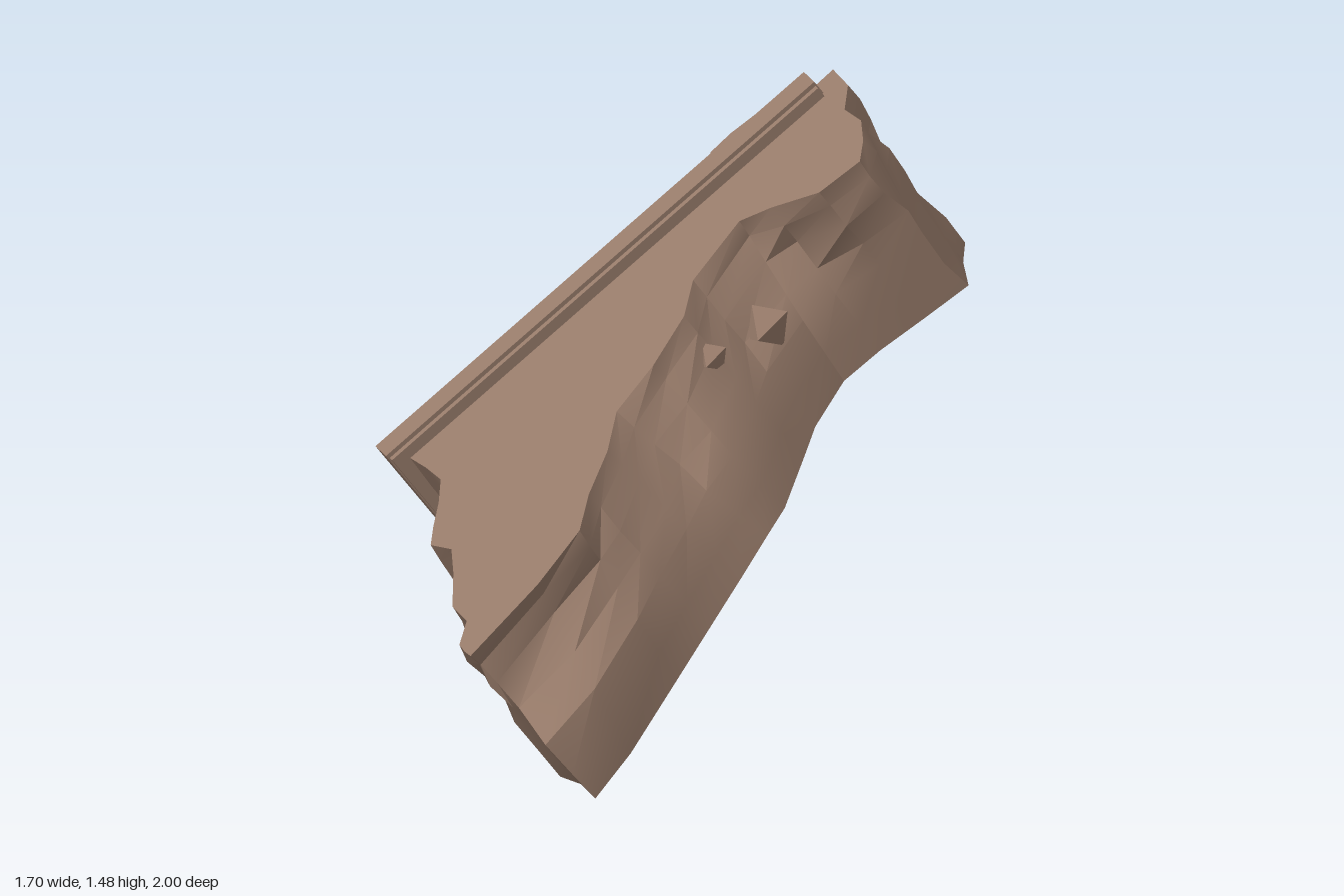
import * as THREE from 'three';
import { toCreasedNormals } from 'three/addons/utils/BufferGeometryUtils.js';

const stone = new THREE.MeshStandardMaterial({ color: 0x967a69 });
stone.name = 'brown stone';

// Outline of the broken wall: [bottom x, bottom z, top x, top z], counterclockwise from above
const front = [
  [-0.37, 1.0, -0.40, 0.83], [-0.218, 0.9, -0.13, 0.72], [0, 0.69, 0.05, 0.6],
  [0.15, 0.545, 0.12, 0.44], [0.3, 0.4, 0.225, 0.28], [0.42, 0.28, 0.3, 0.1],
  [0.503, 0.2, 0.457, 0], [0.62, 0, 0.6, -0.14], [0.688, -0.12, 0.67, -0.3],
  [0.822, -0.25, 0.868, -0.43], [0.956, -0.265, 0.97, -0.37], [1.12, -0.255, 1.117, -0.25],
];
const rest = [
  // right end
  [1.275, -0.25, 1.265, -0.25], [1.29, -0.4, 1.3, -0.35], [1.32, -0.5, 1.32, -0.47],
  [1.275, -0.6, 1.29, -0.6], [1.26, -0.7, 1.33, -0.72], [1.21, -0.76, 1.31, -0.87],
  // back, hidden in the cornice
  [-0.34, -0.54, -0.315, -0.54],
  // left end
  [-0.32, -0.4, -0.28, -0.4], [-0.3, -0.3, -0.255, -0.27], [-0.352, -0.15, -0.29, -0.15],
  [-0.352, -0.05, -0.335, -0.04], [-0.385, 0.06, -0.365, 0.05], [-0.37, 0.2, -0.315, 0.16],
  [-0.386, 0.3, -0.34, 0.3], [-0.461, 0.43, -0.385, 0.48], [-0.445, 0.6, -0.365, 0.62],
  [-0.436, 0.73, -0.415, 0.72], [-0.39, 0.86, -0.41, 0.78],
];
const levels = [0.348, 0.45, 0.57, 0.65, 0.74, 0.81, 0.867];
const slope = [0, 0.03, 0.1, 0.42, 0.68, 0.9, 1];        // front face leaning back
const pocket = [0, 0, 0.1, 0.85, 1.25, 1.2, 1];          // hollow at the front left corner

function mesh(name, geometry, x = 0, y = 0, z = 0) {
  const m = new THREE.Mesh(geometry, stone);
  m.name = name;
  m.position.set(x, y, z);
  return m;
}

// Loft the outline through the levels and cap both ends
function wallGeometry() {
  const outline = [...front, ...rest], n = outline.length;
  const pos = [], index = [];
  levels.forEach((y, k) => {
    const t = (y - levels[0]) / (levels.at(-1) - levels[0]);
    const inner = k > 0 && k < levels.length - 1;
    outline.forEach(([bx, bz, tx, tz], i) => {
      const isFront = i < front.length;
      const w = isFront ? (i < 3 ? pocket : slope)[k] : t;
      const bump = inner ? Math.sin(i * 2.3 + k * 1.9) : 0;
      const onEnd = !isFront && i !== front.length + 6;
      pos.push(
        bx + (tx - bx) * t + (onEnd ? bump * 0.012 : 0), y,
        bz + (tz - bz) * w + (isFront && k > 2 ? bump * 0.022 : 0));
    });
  });
  for (let k = 0; k < levels.length - 1; k++) {
    for (let i = 0; i < n; i++) {
      const a = k * n + i, b = k * n + (i + 1) % n;
      index.push(a, b, b + n, a, b + n, a + n);
    }
  }
  const cap = (cx, cz) => THREE.ShapeUtils.triangulateShape(
    outline.map(p => new THREE.Vector2(p[cx], -p[cz])), []);
  const top = (levels.length - 1) * n;
  cap(2, 3).forEach(([a, b, c]) => index.push(top + a, top + b, top + c));
  cap(0, 1).forEach(([a, b, c]) => index.push(a, c, b));
  const g = new THREE.BufferGeometry();
  g.setAttribute('position', new THREE.Float32BufferAttribute(pos, 3));
  g.setIndex(index);
  return toCreasedNormals(g, 0.55);
}

// Small block with chamfered edges
function chamferedBlock(l, w, d) {
  const b = 0.012, x = l / 2 - b, y = w / 2 - b;
  const s = new THREE.Shape([[-x, -y], [x, -y], [x, y], [-x, y]].map(p => new THREE.Vector2(...p)));
  const g = new THREE.ExtrudeGeometry(s, {
    depth: d - 2 * b, bevelEnabled: true, bevelSize: b, bevelThickness: b, bevelSegments: 1 });
  return g.translate(0, 0, b - d / 2);
}

// Large end block with a chip in its outer face and worn corners
function chippedBlock(l, w, d) {
  const g = new THREE.BoxGeometry(l, w, d, 4, 2, 1), p = g.attributes.position;
  for (let i = 0; i < p.count; i++) {
    if (p.getZ(i) > 0) continue;
    const x = p.getX(i), y = p.getY(i);
    if (Math.abs(x) < 0.01 && Math.abs(y) < 0.01) p.setZ(i, p.getZ(i) + 0.04);
    if (Math.abs(x) > l * 0.45 && Math.abs(y) > w * 0.45) {
      p.setXYZ(i, x * 0.96, y * 0.93, p.getZ(i) + 0.012);
    }
  }
  return toCreasedNormals(g, 0.2);
}

export function createModel() {
  const model = new THREE.Group();
  model.name = 'wallFragment';
  // Everything is built level, then the whole piece is tipped over
  const piece = new THREE.Group();
  piece.name = 'tippedPiece';
  piece.rotation.z = Math.atan2(0.596, 0.803);
  model.add(piece);

  piece.add(mesh('brokenWall', wallGeometry()));

  // Cornice slab with a thin lip, slightly turned
  const cornice = new THREE.Group();
  cornice.name = 'cornice';
  cornice.position.set(0.441, 0.607, -0.696);
  cornice.rotation.y = 0.154;
  cornice.add(mesh('corniceSlab', new THREE.BoxGeometry(1.635, 0.61, 0.1), 0, 0, -0.01));
  cornice.add(mesh('corniceLip', new THREE.BoxGeometry(1.625, 0.585, 0.025), 0, 0, 0.05));
  piece.add(cornice);

  // Two rows of blocks: [centre along the wall, outer z in top row, outer z in bottom row]
  const blocks = [[-0.19, -0.79, -0.75], [0.271, -0.83, -0.83], [0.601, -0.88, -0.89], [1.037, -1.0, -0.97]];
  blocks.forEach(([x, topZ, bottomZ], i) => {
    const large = i === 0 || i === 3;
    const inner = -0.58 - 0.155 * (x + 0.376);
    [[0.793, topZ, 'top'], [0.414, bottomZ, 'bottom']].forEach(([y, outer, row]) => {
      const d = inner - outer;
      const g = large ? chippedBlock(0.345, 0.104, d) : chamferedBlock(0.185, 0.104, d);
      piece.add(mesh(`${row}Block${i + 1}`, g, x, y, (inner + outer) / 2));
    });
  });

  // Loose shards sticking out of the broken face
  [[0.74, 0.66, -0.17, 0.075, 0.13], [0.58, 0.74, -0.06, 0.05, 0.09]].forEach(([x, y, z, r, h], i) => {
    const shard = mesh(`shard${i + 1}`, new THREE.ConeGeometry(r, h, 4).toNonIndexed(), x, y, z);
    shard.geometry.computeVertexNormals();
    shard.rotation.set(1.3, 0, 0.3);
    piece.add(shard);
  });

  return model;
}
